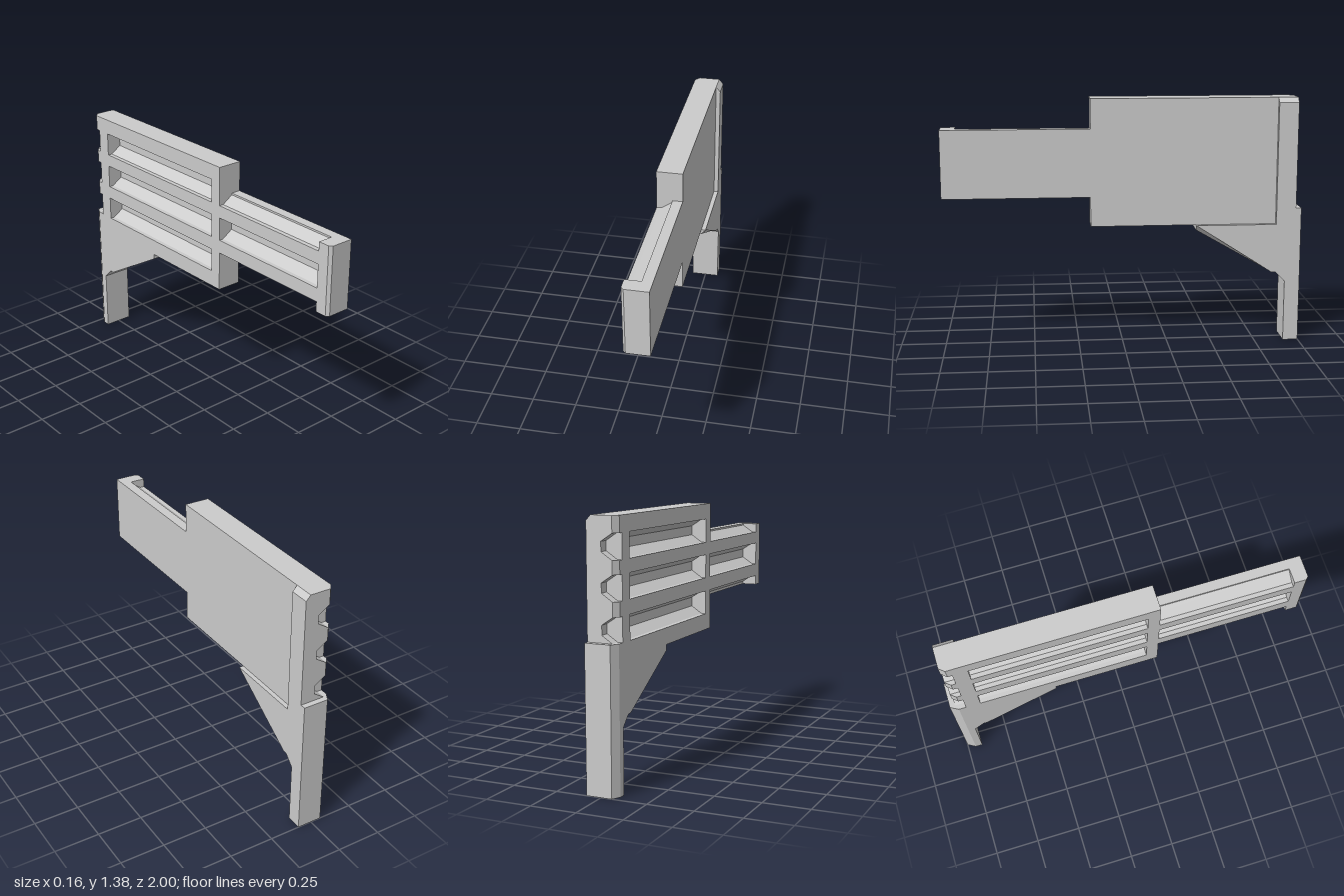
import * as THREE from 'three';

const material = new THREE.MeshStandardMaterial({ color: 0xcccccc, flatShading: true });

// Extrude a 2D outline by a depth, optionally moving vertices afterwards
function extrude(points, depth) {
  const shape = new THREE.Shape(points.map(([a, b]) => new THREE.Vector2(a, b)));
  return new THREE.ExtrudeGeometry(shape, { depth, bevelEnabled: false });
}

// Outline in (z, y), running from x0 to x1
function plate(points, x0, x1) {
  return extrude(points.map(([z, y]) => [-z, y]), x1 - x0).rotateY(Math.PI / 2).translate(x0, 0, 0);
}

// Outline in (x, z), running from y0 to y1
function column(points, y0, y1) {
  return extrude(points.map(([x, z]) => [x, -z]), y1 - y0).rotateX(-Math.PI / 2).translate(0, y0, 0);
}

// Outline in (x, y), running from z0 to z1
function rail(points, z0, z1) {
  return extrude(points, z1 - z0).translate(0, 0, z0);
}

function moveVertices(geometry, rule) {
  const pos = geometry.attributes.position;
  const v = new THREE.Vector3();
  for (let i = 0; i < pos.count; i++) {
    v.fromBufferAttribute(pos, i);
    rule(v);
    pos.setXYZ(i, v.x, v.y, v.z);
  }
  geometry.computeVertexNormals();
  return geometry;
}

export function createModel() {
  const group = new THREE.Group();
  const add = (name, geometry) => {
    const mesh = new THREE.Mesh(geometry, material);
    mesh.name = name;
    group.add(mesh);
  };

  const FACE = -0.085, LIP = -0.06, FLOOR = 0, BACK = 0.055, OUTER = 0.08;
  const BOTTOM = 0.675, TOP = 1.385, ARM_LOW = 0.84, ARM_HIGH = 1.22;

  // Solid web behind the grooves: wide body with a narrower arm in front
  add('web', plate([
    [1, ARM_LOW], [1, ARM_HIGH], [0.18, ARM_HIGH], [0.18, TOP],
    [-0.97, TOP], [-0.97, BOTTOM], [0.18, BOTTOM], [0.18, ARM_LOW],
  ], FLOOR, BACK));

  // Ribs between the grooves, with sloped flanks widening towards the web
  const slope = 0.04;
  const ribs = [
    { low: BOTTOM, high: 0.765, lowSlope: 0, highSlope: slope, end: 0.18 },
    { low: 0.895, high: 0.97, lowSlope: slope, highSlope: slope, end: 0.92 },
    { low: 1.10, high: 1.17, lowSlope: slope, highSlope: slope, end: 0.92 },
    { low: 1.30, high: TOP, lowSlope: slope, highSlope: 0, end: 0.18 },
  ];
  for (const { low, high, lowSlope, highSlope, end } of ribs) {
    const profile = [
      [FACE, low], [LIP, low], [FLOOR, low - lowSlope],
      [FLOOR, high + highSlope], [LIP, high], [FACE, high],
    ];
    add('rib', rail(profile, -0.94, end));
    // chamfered back end of the rib
    add('ribEnd', moveVertices(rail(profile, -0.97, -0.94), (v) => {
      if (v.z < -0.96 && v.x < LIP) v.x = LIP;
    }));
  }

  // Upright bars closing the grooves
  for (const [z0, z1] of [[-0.915, -0.834], [0.115, 0.18]]) {
    add('upright', column([[FACE, z0], [FLOOR, z0], [FLOOR, z1], [FACE, z1]], BOTTOM, TOP));
  }

  // Block at the tip of the arm, with a small chamfer
  add('armEnd', column(
    [[FACE, 0.92], [FLOOR, 0.92], [FLOOR, 1], [-0.07, 1], [FACE, 0.985]], ARM_LOW, ARM_HIGH));

  // Raised strip along the back edge
  add('backStrip', rail(
    [[BACK, BOTTOM], [OUTER, BOTTOM], [OUTER, 1.357], [BACK, TOP]], -0.97, -0.86));

  // Bracket under the body, its outer lower edge chamfered
  const bracket = [
    [-0.41, BOTTOM], [-0.41, 0.645], [-0.835, 0.4], [-0.838, 0.4], [-0.86, 0.4],
    [-0.915, 0.345], [-0.94, 0.345], [-0.94, BOTTOM],
  ];
  add('bracket', plate(bracket, FACE, BACK));
  add('bracketOuter', moveVertices(plate(bracket, BACK, OUTER), (v) => {
    if (v.x > 0.07 && v.z > -0.836 && v.y < 0.67) v.y += 0.03;
  }));

  // Leg at the back, chamfered on one corner
  add('leg', column([
    [FACE, -0.915], [OUTER, -0.915], [OUTER, -1], [LIP, -1], [FACE, -0.955],
  ], 0, 0.767));

  return group;
}
